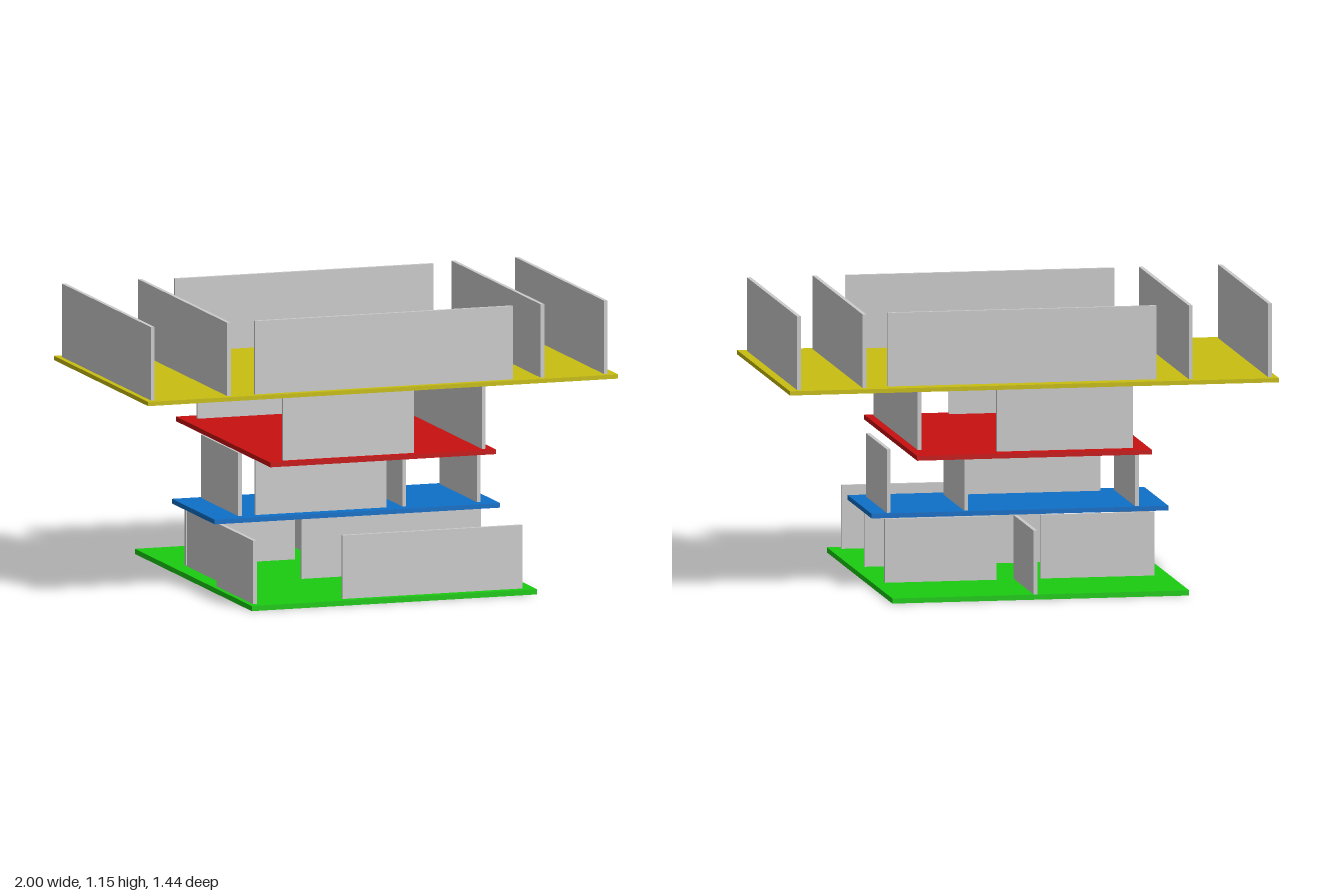
import * as THREE from 'three';

const T = 0.016; // wall thickness

export function createModel() {
  const model = new THREE.Group();
  const grey = new THREE.MeshStandardMaterial({ color: 0xcccccc });

  // Box given by its extents on each axis
  function block(parent, name, [x0, x1], [y0, y1], [z0, z1], material) {
    const mesh = new THREE.Mesh(new THREE.BoxGeometry(x1 - x0, y1 - y0, z1 - z0), material);
    mesh.position.set((x0 + x1) / 2, (y0 + y1) / 2, (z0 + z1) / 2);
    mesh.name = name;
    parent.add(mesh);
  }

  // Each storey: coloured floor slab, cross walls [x0, x1, z] and side walls [x, z0, z1]
  const storeys = [
    {
      name: 'groundStorey', color: 0x1acc10, x: [-0.607, 0.607], z: [-0.718, 0.718], y: [0, 0.021], top: 0.28,
      cross: [[-0.207, 0.557, 0.672], [-0.207, 0.557, 0.168], [0.1, 0.557, -0.28], [-0.545, -0.08, -0.28]],
      side: [[-0.58, 0.232, 0.68], [-0.537, -0.258, 0.175], [0.02, -0.714, -0.272]],
    },
    {
      name: 'secondStorey', color: 0x0f70c8, x: [-0.607, 0.607], z: [-0.263, 0.263], y: [0.28, 0.299], top: 0.557,
      cross: [[-0.415, 0.142, 0.203]],
      side: [[-0.481, -0.247, 0.211], [0.217, -0.247, 0.211], [0.534, -0.247, 0.211]],
    },
    {
      name: 'thirdStorey', color: 0xc81010, x: [-0.48, 0.48], z: [-0.58, 0.58], y: [0.557, 0.576], top: 0.836,
      cross: [[-0.415, 0.142, 0.54], [-0.415, 0.142, -0.51]],
      side: [[0.439, -0.413, 0.549]],
    },
    {
      name: 'topStorey', color: 0xc8be10, x: [-1, 1], z: [-0.58, 0.58], y: [0.836, 0.853], top: 1.152,
      cross: [[-0.535, 0.562, 0.543], [-0.51, 0.589, -0.512]],
      side: [[-0.97, -0.544, 0.55], [-0.646, -0.544, 0.55], [0.688, -0.544, 0.55], [0.957, -0.544, 0.55]],
    },
  ];

  for (const s of storeys) {
    const storey = new THREE.Group();
    storey.name = s.name;
    block(storey, 'floorSlab', s.x, s.y, s.z, new THREE.MeshStandardMaterial({ color: s.color }));
    const height = [s.y[1], s.top];
    for (const [x0, x1, z] of s.cross) block(storey, 'crossWall', [x0, x1], height, [z - T / 2, z + T / 2], grey);
    for (const [x, z0, z1] of s.side) block(storey, 'sideWall', [x - T / 2, x + T / 2], height, [z0, z1], grey);
    model.add(storey);
  }
  return model;
}
